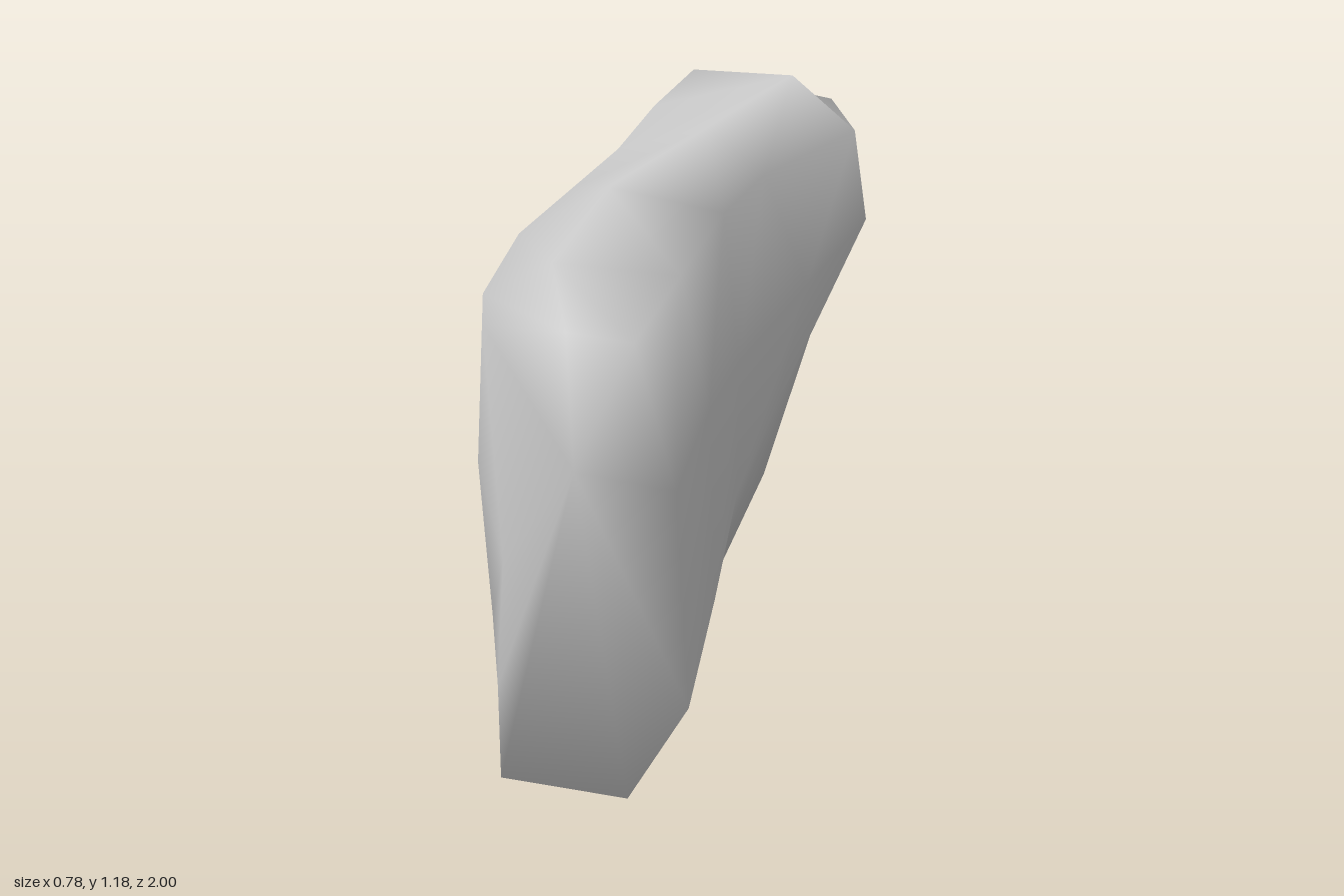
import * as THREE from 'three';

// One cross-section: base z, change of z with height, and x,y pairs running
// upper left shoulder -> crown -> right flank -> base -> left flank.
function ring(z, slope, ...xy) {
  return xy.map(([x, y]) => new THREE.Vector3(x, y, z + slope * y));
}

// Joins the rings into one closed smooth skin with a point at each end.
function loft(rings, frontTip, backTip) {
  const n = rings[0].length;
  const index = [];
  const front = rings.length * n;
  const back = front + 1;
  const last = front - n;
  for (let j = 0; j < n; j++) {
    const k = (j + 1) % n;
    for (let a = j, b = k; a < last; a += n, b += n) {
      index.push(a, b, a + n, b, b + n, a + n);
    }
    index.push(front, k, j, back, last + j, last + k);
  }
  const geometry = new THREE.BufferGeometry();
  geometry.setFromPoints([...rings.flat(), frontTip, backTip]);
  geometry.setIndex(index);
  geometry.computeVertexNormals();
  return geometry;
}

export function createModel() {
  const group = new THREE.Group();
  group.name = 'rock';
  const stone = new THREE.MeshStandardMaterial({ color: 0xcccccc });
  stone.name = 'grey stone';

  // blunt front face
  const face = ring(0.97, -0.04, [-0.16, 1.03], [0, 1.03], [0.13, 1.02], [0.21, 0.73],
    [0.24, 0.26], [0.115, 0.025], [-0.155, 0.03], [-0.155, 0.25], [-0.135, 0.54]);
  // narrow front half
  const chest = ring(0.62, 0, [-0.27, 0.96], [-0.12, 1.04], [0.145, 1.035], [0.205, 0.75],
    [0.22, 0.3], [0.11, 0.04], [-0.155, 0], [-0.285, 0.19], [-0.3, 0.57]);
  const waist = ring(0.26, 0, [-0.31, 0.96], [-0.1, 1.085], [0.157, 1.045], [0.195, 0.7],
    [0.195, 0.36], [0.12, 0.065], [-0.15, 0.05], [-0.285, 0.25], [-0.39, 0.73]);
  // overhanging back lobe
  const lobe = ring(-0.41, 0, [-0.26, 0.96], [0.19, 1.18], [0.35, 1.05], [0.388, 0.82],
    [0.27, 0.54], [0.14, 0.06], [-0.15, 0.06], [-0.35, 0.46], [-0.375, 0.7]);
  const rump = ring(-0.71, -0.05, [-0.25, 0.98], [-0.14, 1.087], [0.24, 1.03], [0.315, 0.8],
    [0.21, 0.5], [0.03, 0.055], [-0.17, 0.055], [-0.28, 0.42], [-0.372, 0.76]);
  const tail = ring(-0.84, -0.06, [-0.19, 0.95], [-0.05, 0.99], [0.12, 0.99], [0.27, 0.75],
    [0.17, 0.46], [-0.02, 0.05], [-0.125, 0.05], [-0.17, 0.4], [-0.255, 0.83]);

  // saddle between the halves, dipping at the right of the crown
  const saddle = waist.map((p, i) => p.clone().lerp(lobe[i], 0.5));
  saddle[2].set(0.18, 1.02, -0.1);

  const body = new THREE.Mesh(
    loft(
      [face, chest, waist, saddle, lobe, rump, tail],
      new THREE.Vector3(0.03, 0.78, 1),
      new THREE.Vector3(-0.07, 0.86, -1),
    ),
    stone,
  );
  body.name = 'boulder';
  group.add(body);
  return group;
}
